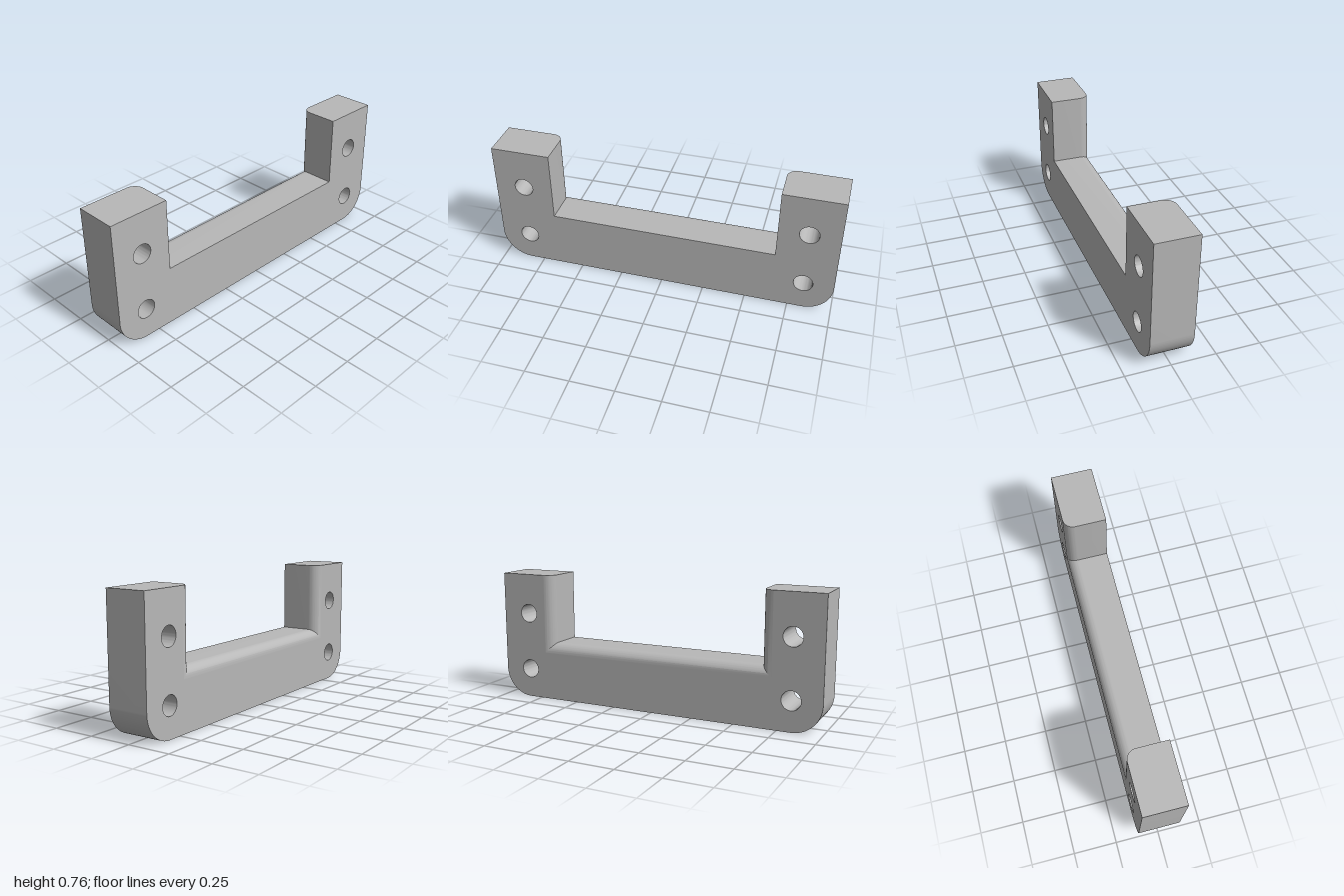
import * as THREE from 'three';
import { mergeGeometries, toCreasedNormals } from 'three/addons/utils/BufferGeometryUtils.js';

const HEIGHT = 0.757, HALF_DEPTH = 0.12;
const CORNER = 0.17;                    // outer bottom corner radius
const NOTCH_X = 0.655, NOTCH_Y = 0.345; // inner opening
const FILLET = 0.06, FILLET_STEPS = 16; // rounded rear edge of the opening
const ARC = 24;

// U outline with four bolt holes; d widens the opening
function outline(d) {
  const s = new THREE.Shape();
  const x = NOTCH_X + d, y = NOTCH_Y - d;
  s.moveTo(-1, HEIGHT);
  s.lineTo(-1, CORNER);
  s.absarc(-1 + CORNER, CORNER, CORNER, Math.PI, Math.PI * 1.5);
  s.lineTo(1 - CORNER, 0);
  s.absarc(1 - CORNER, CORNER, CORNER, Math.PI * 1.5, Math.PI * 2);
  s.lineTo(1, HEIGHT);
  s.lineTo(x, HEIGHT);
  s.lineTo(x, y);
  s.lineTo(-x, y);
  s.lineTo(-x, HEIGHT);
  s.closePath();
  for (const hx of [-0.827, 0.827]) {
    for (const hy of [0.175, 0.52]) {
      s.holes.push(new THREE.Path().absarc(hx, hy, 0.055, 0, Math.PI * 2, true));
    }
  }
  return s;
}

// Closed rings of points: the outer edge, then each hole
function rings(d) {
  const { shape, holes } = outline(d).extractPoints(ARC);
  return [shape, ...holes];
}

// Side walls joining successive cross-sections from front to back
function walls(layers) {
  const pos = [];
  for (let k = 0; k + 1 < layers.length; k++) {
    const front = rings(layers[k].d), back = rings(layers[k + 1].d);
    const zf = layers[k].z, zb = layers[k + 1].z;
    front.forEach((ring, r) => {
      for (let i = 0; i < ring.length; i++) {
        const j = (i + 1) % ring.length;
        if (ring[i].distanceTo(ring[j]) < 1e-6) continue;
        const a = [ring[i].x, ring[i].y, zf], b = [back[r][i].x, back[r][i].y, zb];
        const c = [back[r][j].x, back[r][j].y, zb], e = [ring[j].x, ring[j].y, zf];
        pos.push(...a, ...b, ...e, ...b, ...c, ...e);
      }
    });
  }
  const g = new THREE.BufferGeometry();
  g.setAttribute('position', new THREE.Float32BufferAttribute(pos, 3));
  return toCreasedNormals(g, 0.5);
}

// Flat front or back face
function cap(d, z, facingBack) {
  const g = new THREE.ShapeGeometry(outline(d), ARC).toNonIndexed();
  g.deleteAttribute('uv');
  // the outline is symmetric in x, so a half turn gives the back face
  if (facingBack) g.rotateY(Math.PI);
  return g.translate(0, 0, z);
}

export function createModel() {
  const group = new THREE.Group();
  group.name = 'bracket';
  const grey = new THREE.MeshStandardMaterial({ color: 0xb8b8b8 });
  grey.name = 'grey';

  const layers = [{ z: HALF_DEPTH, d: 0 }];
  for (let i = 0; i <= FILLET_STEPS; i++) {
    const a = (i / FILLET_STEPS) * Math.PI / 2;
    layers.push({
      z: -HALF_DEPTH + FILLET * (1 - Math.sin(a)),
      d: FILLET * (1 - Math.cos(a)),
    });
  }

  const body = new THREE.Mesh(mergeGeometries([
    walls(layers),
    cap(0, HALF_DEPTH, false),
    cap(FILLET, -HALF_DEPTH, true),
  ]), grey);
  body.name = 'bracketBody';
  group.add(body);
  return group;
}
